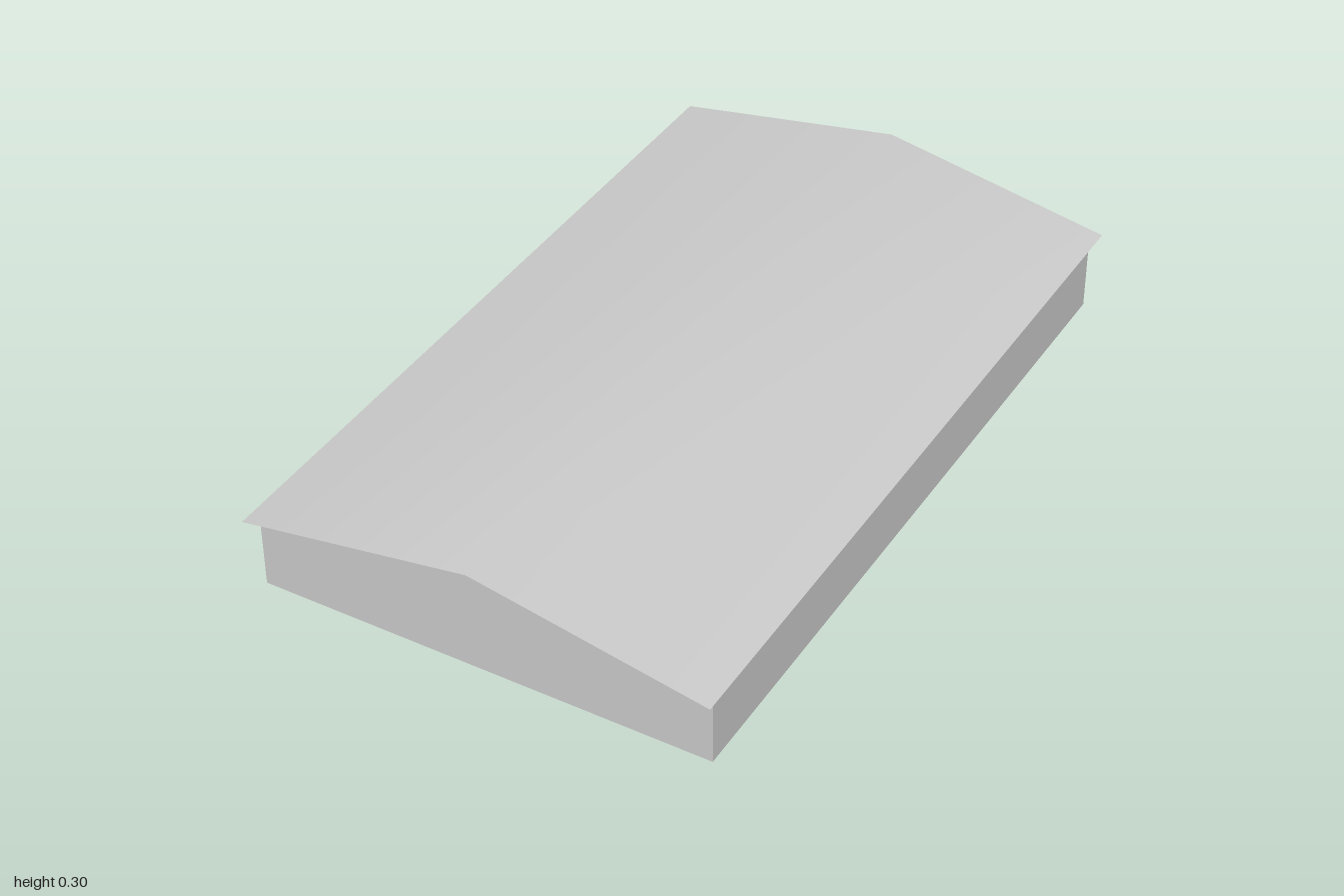
import * as THREE from 'three';

const HALF_X = 0.583, HALF_Z = 0.958, EAVE = 0.197, RIDGE = 0.301;

export function createModel() {
  const group = new THREE.Group();
  const material = new THREE.MeshStandardMaterial({ color: 0xcccccc, side: THREE.DoubleSide });

  const add = (name, geometry) => {
    const mesh = new THREE.Mesh(geometry, material);
    mesh.name = name;
    group.add(mesh);
    return mesh;
  };

  // Thin upright wall between two floor points, from the ground to the eaves
  const wall = (name, x1, z1, x2, z2) => {
    const mesh = add(name, new THREE.PlaneGeometry(Math.hypot(x2 - x1, z2 - z1), EAVE));
    mesh.position.set((x1 + x2) / 2, EAVE / 2, (z1 + z2) / 2);
    mesh.rotation.y = -Math.atan2(z2 - z1, x2 - x1);
  };

  // Roof: one sheet folded softly at the ridge, one eave a little lower
  const roof = new THREE.PlaneGeometry(1.2, 2, 2, 1).rotateX(-Math.PI / 2);
  const pos = roof.attributes.position;
  for (let i = 0; i < pos.count; i++) {
    const x = pos.getX(i);
    pos.setY(i, x < -0.1 ? 0.203 : x > 0.1 ? 0.194 : 0.304);
  }
  roof.computeVertexNormals();
  add('roof', roof);

  // End walls with gables
  const gable = new THREE.Shape([
    [-HALF_X, 0], [HALF_X, 0], [HALF_X, EAVE], [0, RIDGE], [-HALF_X, EAVE],
  ].map(([x, y]) => new THREE.Vector2(x, y)));
  for (const [name, side] of [['frontWall', 1], ['backWall', -1]]) {
    const mesh = add(name, new THREE.ShapeGeometry(gable));
    mesh.position.z = side * HALF_Z;
    if (side < 0) mesh.rotation.y = Math.PI;
  }

  // Long side walls
  wall('leftWall', HALF_X, HALF_Z, HALF_X, -HALF_Z);
  wall('rightWall', -HALF_X, -HALF_Z, -HALF_X, HALF_Z);

  // Inner room and the corridor next to it
  wall('roomOuterPartition', 0.26, -0.43, 0.26, -0.84);
  wall('roomFrontPartition', 0.26, -0.43, 0.04, -0.43);
  wall('roomInnerPartition', 0.04, -0.27, 0.04, -0.84);
  wall('backPartition', 0.26, -0.84, -0.235, -0.84);
  wall('corridorPartition', -0.235, -0.27, -0.235, -0.84);
  wall('corridorFrontPartition', -0.02, -0.27, -0.235, -0.27);
  wall('outerCorridorPartition', -0.28, -0.21, -0.28, -0.84);

  // Small closet in the back corner
  wall('closetSidePartition', -0.39, -0.86, -0.39, -0.935);
  wall('closetFrontPartition', -0.39, -0.86, -HALF_X, -0.86);

  return group;
}
